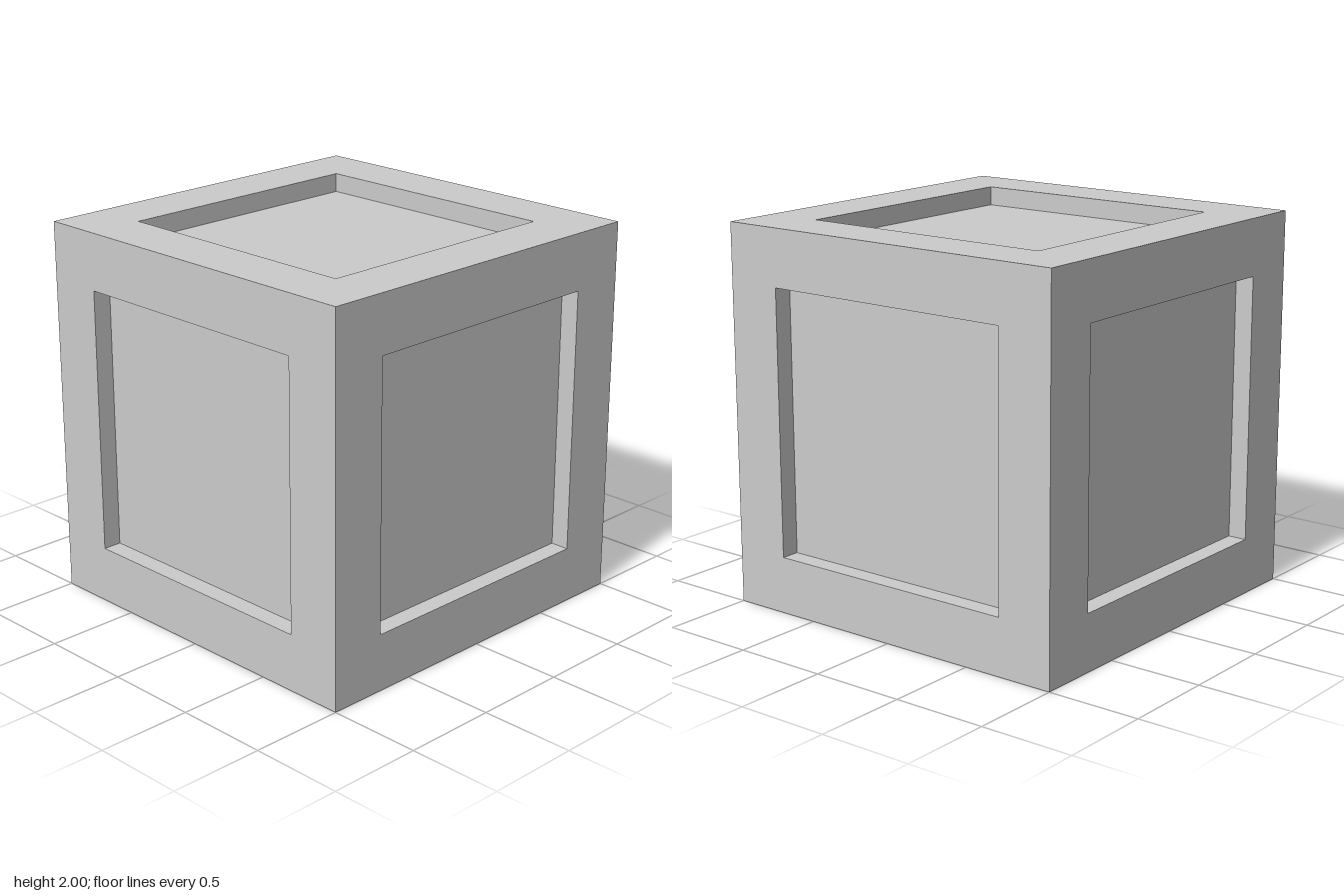
import * as THREE from 'three';

const HALF = 1;        // half the cube's edge
const OPENING = 0.7;   // half the recess width
const DEPTH = 0.1;     // recess depth

// One side of the cube facing +z: a square frame, four recess walls, a sunken panel
function createSide(material) {
  const side = new THREE.Group();
  const add = (name, geometry) => {
    const mesh = new THREE.Mesh(geometry, material);
    mesh.name = name;
    side.add(mesh);
  };

  const square = (h) => [[-h, -h], [h, -h], [h, h], [-h, h]].map(([x, y]) => new THREE.Vector2(x, y));
  const outline = new THREE.Shape(square(HALF));
  outline.holes.push(new THREE.Path(square(OPENING).reverse()));
  add('frame', new THREE.ShapeGeometry(outline).translate(0, 0, HALF));

  for (let i = 0; i < 4; i++) {
    add('recessWall', new THREE.PlaneGeometry(OPENING * 2, DEPTH)
      .rotateX(-Math.PI / 2)
      .translate(0, -OPENING, HALF - DEPTH / 2)
      .rotateZ(i * Math.PI / 2));
  }

  add('panel', new THREE.PlaneGeometry(OPENING * 2, OPENING * 2).translate(0, 0, HALF - DEPTH));
  return side;
}

export function createModel() {
  const model = new THREE.Group();
  model.name = 'panelledCube';
  const material = new THREE.MeshStandardMaterial({ color: 0xcccccc, flatShading: true });

  // The same side turned to each of the six directions
  const q = Math.PI / 2;
  const turns = {
    frontSide: [0, 0], leftSide: [0, q], backSide: [0, 2 * q],
    rightSide: [0, -q], topSide: [-q, 0], bottomSide: [q, 0],
  };
  for (const [name, [rx, ry]] of Object.entries(turns)) {
    const side = createSide(material);
    side.name = name;
    side.rotation.set(rx, ry, 0);
    side.position.y = HALF;
    model.add(side);
  }
  return model;
}
